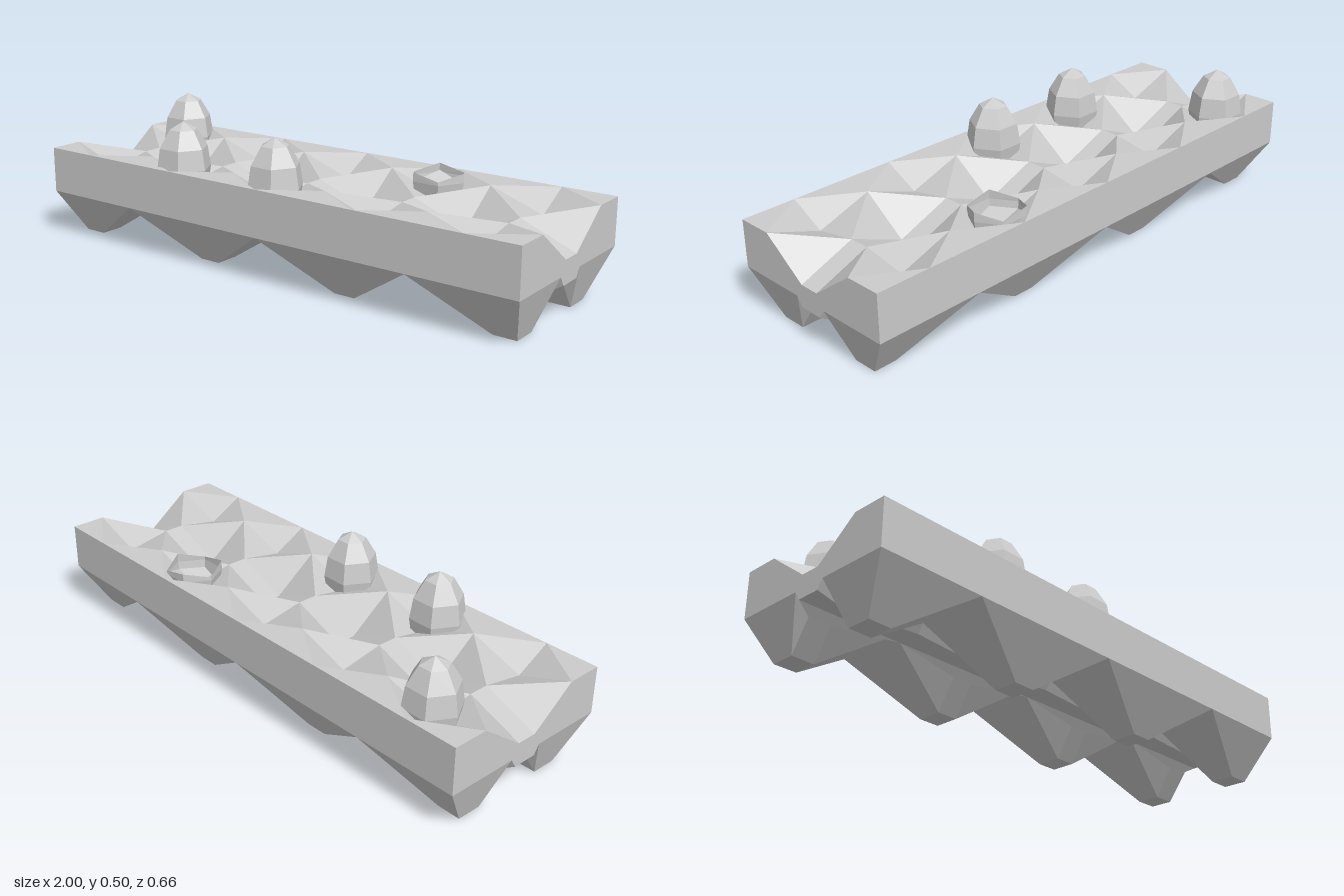
import * as THREE from 'three';

const material = new THREE.MeshStandardMaterial({ color: 0xcccccc, flatShading: true, side: THREE.DoubleSide });

function addMesh(parent, name, geometry) {
  const mesh = new THREE.Mesh(geometry, material);
  mesh.name = name;
  parent.add(mesh);
  return mesh;
}

// Faceted sheet over a grid; each cell is split so the tray bulges outward
function sheet(xs, zs, height, facesUp) {
  const positions = [];
  const push = (...points) => points.forEach((p) => positions.push(...p));
  for (let i = 0; i < xs.length - 1; i++) {
    for (let j = 0; j < zs.length - 1; j++) {
      const at = (u, v) => [xs[i + u], height(i + u, j + v), zs[j + v]];
      const a = at(0, 0), b = at(0, 1), c = at(1, 1), d = at(1, 0);
      const acHigher = a[1] + c[1] > b[1] + d[1];
      const tris = acHigher === facesUp ? [[a, b, c], [a, c, d]] : [[a, b, d], [b, c, d]];
      for (const [p, q, r] of tris) facesUp ? push(p, q, r) : push(p, r, q);
    }
  }
  const geometry = new THREE.BufferGeometry();
  geometry.setAttribute('position', new THREE.Float32BufferAttribute(positions, 3));
  geometry.computeVertexNormals();
  return geometry;
}

function buildTray() {
  const tray = new THREE.Group();
  tray.name = 'tray';

  // Upper surface: peaks and hollows alternate along each row
  const topX = Array.from({ length: 11 }, (_, i) => -1 + i * 0.2);
  const topZ = [-0.33, -0.2, -0.037, 0.037, 0.2, 0.33];
  const topY = (i, j) => {
    const wall = i % 2 === 0;
    if (j === 0 || j === 5) return 0.34;
    if (j === 1 || j === 4) return wall ? 0.34 : 0.27;
    return wall ? 0.22 : 0.3;
  };
  addMesh(tray, 'upperSurface', sheet(topX, topZ, topY, true));

  // Underside: two rows of four tapered feet
  const halfX = [0.26, 0.34, 0.6, 0.86, 0.945, 1];
  const underX = [...halfX.map((x) => -x).reverse(), 0, ...halfX];
  const halfZ = [0.045, 0.065, 0.135, 0.225, 0.33];
  const underZ = [...halfZ.map((z) => -z).reverse(), ...halfZ];
  const valley = [0.137, 0.17, 0.17, 0.17, 0.17];
  const foot = [0.137, 0.107, 0, 0, 0.17];
  const underY = (i, j) => {
    const row = j < 5 ? 4 - j : j - 5;
    return i % 3 === 0 ? valley[row] : foot[row];
  };
  addMesh(tray, 'undersideFeet', sheet(underX, underZ, underY, false));

  // Long walls
  for (const side of [1, -1]) {
    const wall = new THREE.PlaneGeometry(2, 0.17);
    if (side < 0) wall.rotateY(Math.PI);
    wall.translate(0, 0.255, side * 0.33);
    addMesh(tray, side > 0 ? 'frontWall' : 'backWall', wall);
  }

  // End walls follow the upper and lower cross-sections
  const outline = [
    ...topZ.map((z, j) => new THREE.Vector2(z, topY(0, j))),
    ...underZ.map((z, j) => new THREE.Vector2(z, underY(0, j))).reverse(),
  ];
  for (const side of [1, -1]) {
    const end = new THREE.ShapeGeometry(new THREE.Shape(outline));
    end.rotateY(side * Math.PI / 2);
    end.translate(side, 0, 0);
    addMesh(tray, side > 0 ? 'leftEndWall' : 'rightEndWall', end);
  }
  return tray;
}

// Six-sided egg from radius and height pairs
function eggGeometry(profile) {
  const points = profile.map(([r, y]) => new THREE.Vector2(r, y));
  return new THREE.LatheGeometry(points, 6, Math.PI / 2);
}

export function createModel() {
  const model = new THREE.Group();
  model.name = 'eggTray';
  model.add(buildTray());

  // Whole eggs
  const lower = [[0, 0.18], [0.05, 0.2], [0.088, 0.25], [0.101, 0.33]];
  const upper = [[0.089, 0.405], [0.051, 0.47], [0, 0.498]];
  const egg = eggGeometry([...lower, ...upper]);
  [[-0.79, -0.2], [-0.425, 0.215], [0, 0.215]].forEach(([x, z], i) => {
    addMesh(model, `egg${i + 1}`, egg).position.set(x, 0, z);
  });

  // Broken shell with a jagged rim
  const shell = eggGeometry([...lower, [0.1, 0.35]]);
  const p = shell.attributes.position;
  for (let i = 0; i < p.count; i++) {
    if (p.getY(i) < 0.34) continue;
    const corner = Math.round(Math.atan2(p.getZ(i), p.getX(i)) / (Math.PI / 3));
    p.setY(i, corner % 2 === 0 ? 0.363 : 0.342);
  }
  shell.computeVertexNormals();
  addMesh(model, 'brokenShell', shell).position.set(0.395, 0, -0.2);
  return model;
}
